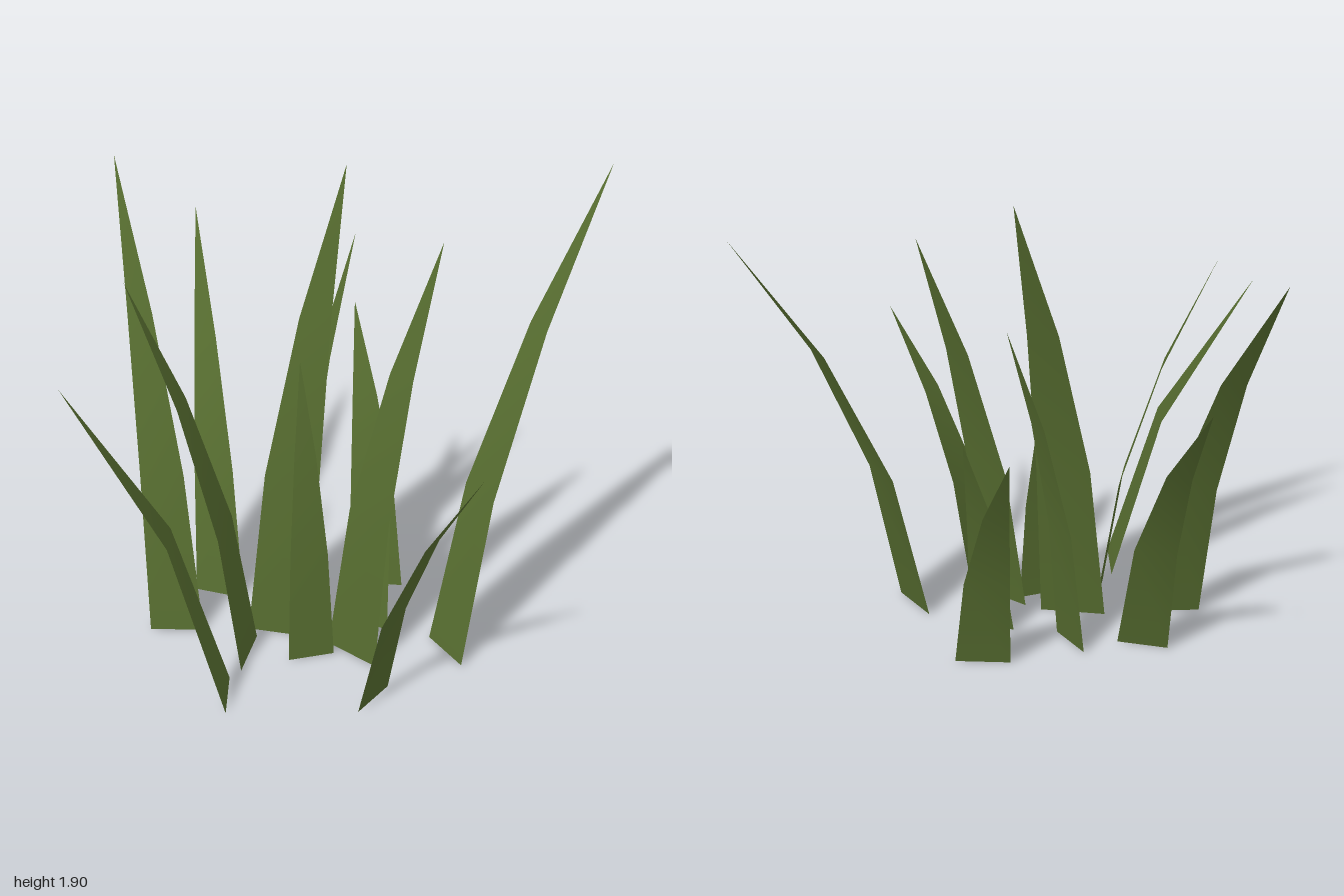
import * as THREE from 'three';

// Each blade: base corner A (x, z), base corner B (x, z), tip (x, y, z), segments
const BLADES = [
  [-0.58, -0.36, -0.43, -0.21, -0.16, 1.75, -0.98, 3],
  [-0.27, -0.44, -0.17, -0.26, 0.24, 1.41, -0.98, 3],
  [-0.49, 0.09, -0.30, -0.03, -0.61, 1.57, -0.36, 3],
  [-0.70, 0.24, -0.55, 0.09, -1.00, 1.33, -0.25, 2],
  [-0.02, -0.21, -0.06, -0.03, 0.37, 1.52, -0.17, 3],
  [-0.29, -0.09, -0.14, 0.13, 0.18, 1.90, -0.03, 3],
  [-0.31, 0.17, -0.15, 0.26, -0.14, 1.24, 0.06, 3],
  [-0.33, 0.58, -0.14, 0.55, -0.13, 1.14, 0.97, 3],
  [0.20, 0.45, 0.16, 0.66, 0.99, 1.85, 0.56, 3],
  [-0.12, 0.20, -0.09, 0.43, 0.27, 1.70, 0.38, 3],
  [0.05, 0.11, 0.11, 0.30, 0.34, 0.97, 0.09, 2],
  [0.23, -0.04, 0.37, 0.13, 0.53, 1.11, -0.33, 3],
];

// Tapered strip that leans further over as it rises and ends in a point
function bladeGeometry([ax, az, bx, bz, tx, ty, tz, segments]) {
  const cx = (ax + bx) / 2, cz = (az + bz) / 2;
  const hx = (bx - ax) / 2, hz = (bz - az) / 2;
  const positions = [], index = [];
  for (let i = 0; i < segments; i++) {
    const t = i / segments;
    const bend = t ** 1.5, width = 1 - bend;
    const x = cx + (tx - cx) * bend;
    const y = ty * (t + 0.16 * t * (1 - t));
    const z = cz + (tz - cz) * bend;
    positions.push(x - hx * width, y, z - hz * width, x + hx * width, y, z + hz * width);
    const a = i * 2;
    if (i < segments - 1) index.push(a, a + 1, a + 3, a, a + 3, a + 2);
    else index.push(a, a + 1, a + 2);
  }
  positions.push(tx, ty, tz);
  const geometry = new THREE.BufferGeometry();
  geometry.setAttribute('position', new THREE.Float32BufferAttribute(positions, 3));
  geometry.setIndex(index);
  geometry.computeVertexNormals();
  return geometry;
}

export function createModel() {
  const group = new THREE.Group();
  group.name = 'grassTuft';
  const green = new THREE.MeshStandardMaterial({ color: 0x556b2f, side: THREE.DoubleSide });
  BLADES.forEach((blade, i) => {
    const mesh = new THREE.Mesh(bladeGeometry(blade), green);
    mesh.name = `grassBlade${i + 1}`;
    group.add(mesh);
  });
  return group;
}
